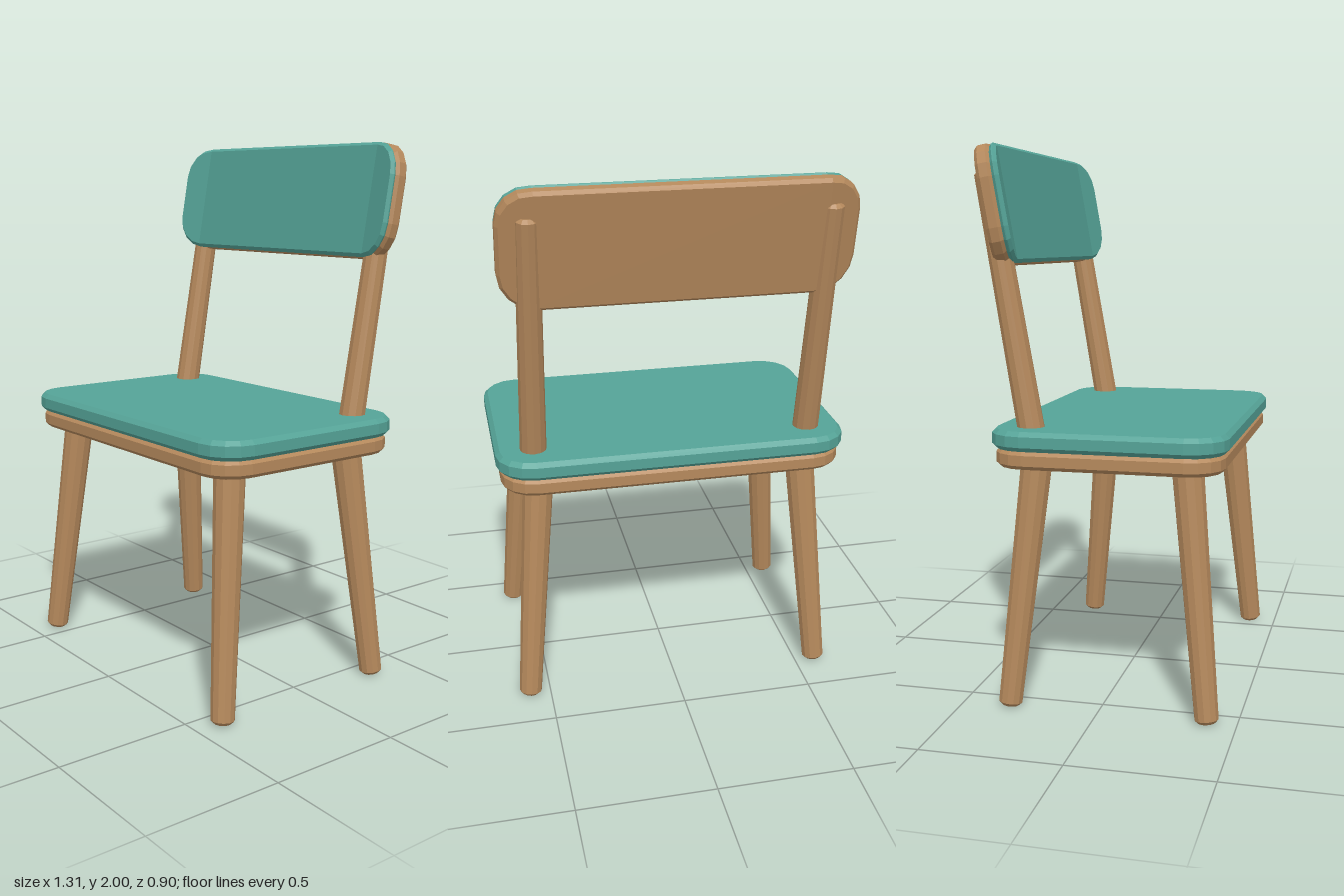
import * as THREE from 'three';

const wood = new THREE.MeshStandardMaterial({ color: 0xb5895c, flatShading: true });
wood.name = 'wood';
const teal = new THREE.MeshStandardMaterial({ color: 0x55a397, flatShading: true });
teal.name = 'teal';

// Outline of a rounded rectangle; point i mirrors point N-1-i across the x axis.
function outline(w, h, r, steps) {
  const pts = [];
  const corners = [[1, 1], [-1, 1], [-1, -1], [1, -1]];
  corners.forEach(([sx, sy], c) => {
    for (let i = 0; i <= steps; i++) {
      const a = (c + i / steps) * Math.PI / 2;
      pts.push([sx * (w / 2 - r) + r * Math.cos(a), sy * (h / 2 - r) + r * Math.sin(a)]);
    }
  });
  return pts;
}

// Rounded panel with chamfered rims, from z = 0 to z = depth; its ends bend towards +z.
function panel(name, material, w, h, r, depth, chamfer, bend = 0) {
  const rings = [[chamfer, 0], [0, chamfer], [0, depth - chamfer], [chamfer, depth]];
  const positions = [], index = [];
  let n = 0;
  for (const [inset, z] of rings) {
    const pts = outline(w - 2 * inset, h - 2 * inset, r - inset, 4);
    n = pts.length;
    for (const [x, y] of pts) {
      positions.push(x, y, z + bend * Math.max(0, Math.abs(x) - (w / 2 - r)) / r);
    }
  }
  const quad = (a, b, c, d) => index.push(a, b, c, a, c, d);
  for (let k = 0; k < 3; k++) {
    for (let i = 0; i < n; i++) {
      const j = (i + 1) % n;
      quad(k * n + i, k * n + j, (k + 1) * n + j, (k + 1) * n + i);
    }
  }
  // Caps as strips between the upper and lower halves of the outline
  for (let i = 0; i < n / 2 - 1; i++) {
    const f = 3 * n;
    quad(f + i, f + i + 1, f + n - 2 - i, f + n - 1 - i);
    quad(n - 1 - i, n - 2 - i, i + 1, i);
  }
  const indexed = new THREE.BufferGeometry();
  indexed.setAttribute('position', new THREE.Float32BufferAttribute(positions, 3));
  indexed.setIndex(index);
  const geometry = indexed.toNonIndexed();
  geometry.computeVertexNormals();
  const mesh = new THREE.Mesh(geometry, material);
  mesh.name = name;
  return mesh;
}

// Tapered round rod with chamfered ends between two points
function rod(name, from, to, r0, r1) {
  const a = new THREE.Vector3(...from), b = new THREE.Vector3(...to);
  const dir = b.clone().sub(a), len = dir.length(), c = 0.012;
  const profile = [[0, 0], [r0 - c, 0], [r0, c], [r1, len - c], [r1 - c, len], [0, len]]
    .map(([x, y]) => new THREE.Vector2(x, y));
  const mesh = new THREE.Mesh(new THREE.LatheGeometry(profile, 12), wood);
  mesh.position.copy(a);
  mesh.quaternion.setFromUnitVectors(new THREE.Vector3(0, 1, 0), dir.normalize());
  mesh.name = name;
  return mesh;
}

export function createModel() {
  const chair = new THREE.Group();
  chair.name = 'chair';

  // Seat: wooden board with a teal pad on top
  const seat = new THREE.Group();
  seat.name = 'seat';
  const board = panel('seatBoard', wood, 1.28, 0.82, 0.125, 0.065, 0.014);
  const pad = panel('seatPad', teal, 1.31, 0.845, 0.135, 0.07, 0.016);
  pad.position.z = 0.065;
  seat.add(board, pad);
  seat.rotation.x = -Math.PI / 2;
  seat.position.set(0, 0.88, 0.0325);
  chair.add(seat);

  // Backrest: leaning wooden panel with a teal front and ends bent forward
  const backrest = new THREE.Group();
  backrest.name = 'backrest';
  const backPanel = panel('backPanel', wood, 1.245, 0.422, 0.125, 0.055, 0.012, 0.03);
  const backPad = panel('backPad', teal, 1.24, 0.418, 0.123, 0.028, 0.012, 0.03);
  backPanel.position.z = -0.04;
  backPad.position.z = 0.012;
  backrest.add(backPanel, backPad);
  backrest.rotation.x = -0.175;
  backrest.position.set(0, 1.788, -0.375);
  chair.add(backrest);

  // Splayed legs and back posts, mirrored left and right
  for (const [side, s] of [['left', 1], ['right', -1]]) {
    chair.add(
      rod(side + 'FrontLeg', [s * 0.578, 0.004, 0.395], [s * 0.502, 0.9, 0.307], 0.043, 0.057),
      rod(side + 'BackLeg', [s * 0.578, 0.004, -0.325], [s * 0.502, 0.9, -0.237], 0.043, 0.057),
      rod(side + 'BackPost', [s * 0.517, 0.95, -0.243], [s * 0.517, 1.905, -0.406], 0.049, 0.042)
    );
  }
  return chair;
}
